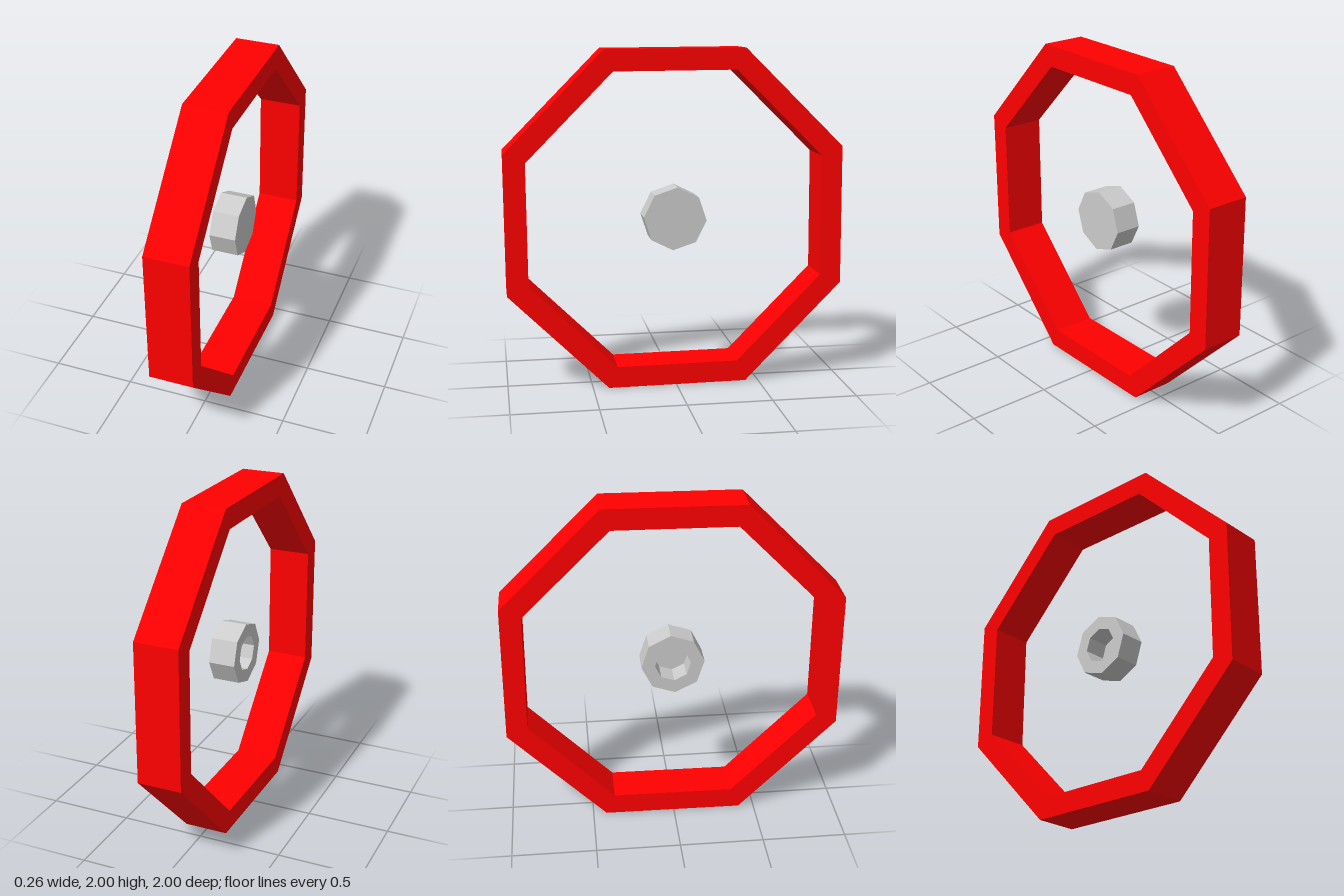
import * as THREE from 'three';

// Eight-sided turned part around the x axis; profile points are [radius, x].
function octagonalPart(name, profile, phaseDegrees, color) {
  const points = profile.map(([r, x]) => new THREE.Vector2(r, x));
  const geometry = new THREE.LatheGeometry(points, 8, THREE.MathUtils.degToRad(phaseDegrees))
    .rotateZ(-Math.PI / 2)
    .toNonIndexed();
  geometry.computeVertexNormals();
  const mesh = new THREE.Mesh(geometry, new THREE.MeshStandardMaterial({ color, flatShading: true }));
  mesh.name = name;
  mesh.position.y = 1;
  return mesh;
}

export function createModel() {
  const model = new THREE.Group();
  model.name = 'wheel';

  // Red outer rim with a rectangular section
  const outer = 1.079, inner = 0.943, half = 0.13;
  model.add(octagonalPart('rim', [
    [inner, half], [inner, -half], [outer, -half], [outer, half], [inner, half],
  ], 22.9, 0xff0000));

  // Floating hub: closed on the left (+x), with a socket open on the right (-x)
  const hubRadius = 0.188, socket = 0.107, hubHalf = 0.08;
  model.add(octagonalPart('hub', [
    [0, 0.06], [socket, 0.06], [socket, -hubHalf],
    [hubRadius, -hubHalf], [hubRadius, hubHalf], [0, hubHalf],
  ], -4.2, 0xcccccc));

  return model;
}
